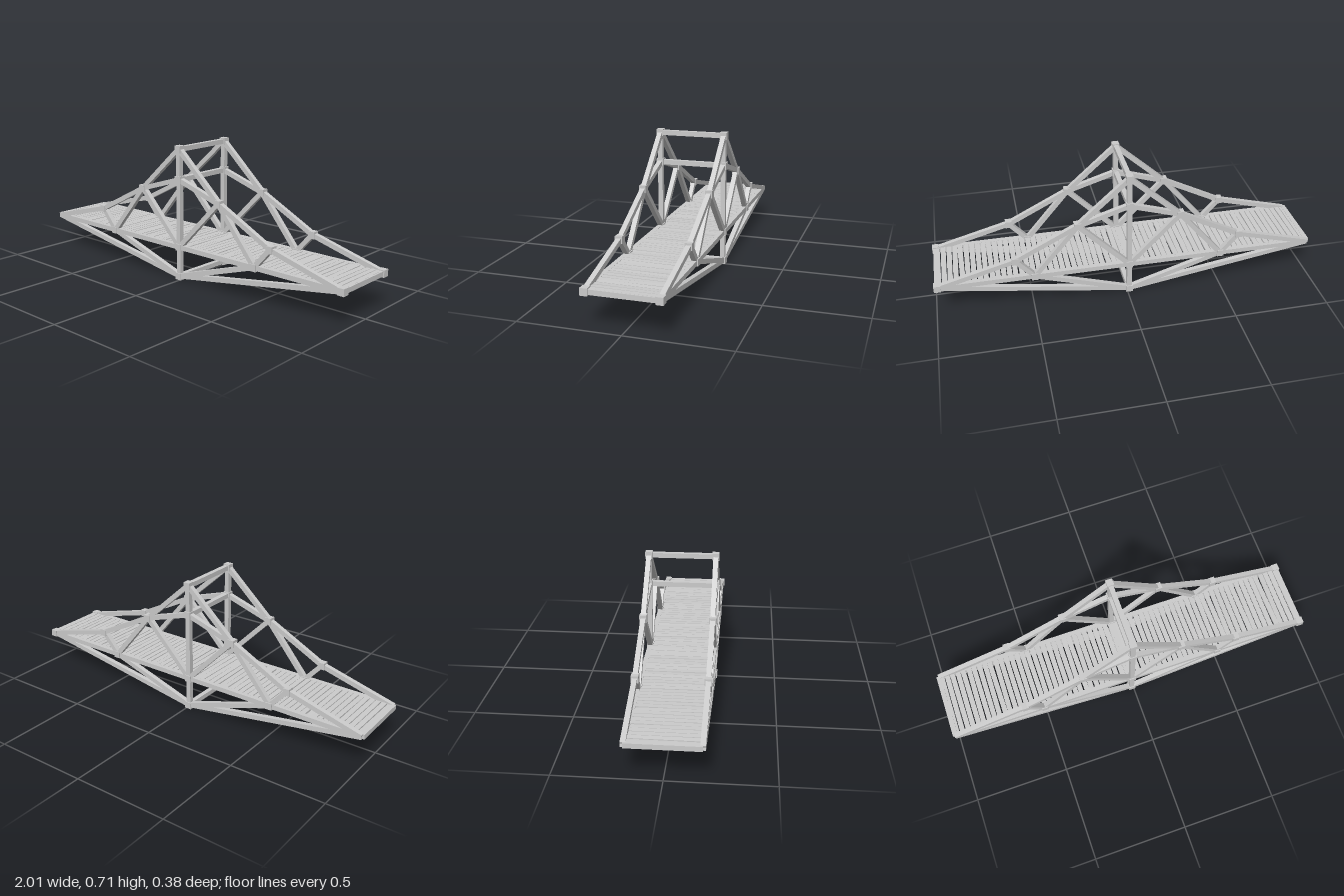
import * as THREE from 'three';

export function createModel() {
  const model = new THREE.Group();
  model.name = 'trussBridge';
  const mat = new THREE.MeshStandardMaterial({ color: 0xcccccc, flatShading: true });

  const CX = -0.01, SIDE = 0.172, BEAM = 0.025, JOINT = 0.036, DECK = 0.178;

  const box = (name, parent, w, h, d, x, y, z) => {
    const m = new THREE.Mesh(new THREE.BoxGeometry(w, h, d), mat);
    m.name = name;
    m.position.set(x, y, z);
    parent.add(m);
    return m;
  };

  // Square bar between two points of a side frame
  const bar = (name, parent, a, b) => {
    const dx = b[0] - a[0], dy = b[1] - a[1];
    const m = box(name, parent, Math.hypot(dx, dy), BEAM, BEAM, (a[0] + b[0]) / 2, (a[1] + b[1]) / 2, 0);
    m.rotation.z = Math.atan2(dy, dx);
  };

  // Joints on the centre line, and joints mirrored to either half
  const apex = [CX, 0.693], collar = [CX, 0.536], hub = [CX, DECK], foot = [CX, 0.02];
  const half = (s) => ({
    end: [CX + s * 0.989, DECK],
    low: [CX + s * 0.59, 0.286],
    mid: [CX + s * 0.266, 0.452],
    deck: [CX + s * 0.495, DECK],
  });

  // Two identical side trusses
  for (const z of [SIDE, -SIDE]) {
    const truss = new THREE.Group();
    truss.name = z > 0 ? 'frontTruss' : 'backTruss';
    truss.position.z = z;
    model.add(truss);

    bar('centrePost', truss, foot, apex);
    for (const s of [-1, 1]) {
      const { end, low, mid, deck } = half(s);
      bar('deckChord', truss, end, hub);
      bar('lowerRafter', truss, end, low);
      bar('middleRafter', truss, low, mid);
      bar('upperRafter', truss, mid, apex);
      bar('collarBrace', truss, mid, collar);
      bar('innerDiagonal', truss, mid, hub);
      bar('outerDiagonal', truss, mid, deck);
      bar('shortStrut', truss, low, deck);
      bar('lowerTie', truss, end, foot);
      bar('footBrace', truss, deck, foot);
      // The far -x end has plain bar ends without joint blocks
      const joints = s > 0 ? [end, low, mid, deck] : [low, mid, deck];
      for (const p of joints) box('joint', truss, JOINT, JOINT, JOINT, p[0], p[1], 0);
    }
    for (const p of [apex, collar, hub, foot]) box('joint', truss, JOINT, JOINT, JOINT, p[0], p[1], 0);
  }

  // Cross beams tying the trusses together
  const crossPoints = [apex, collar, hub, foot, half(1).end, half(-1).end];
  for (const p of crossPoints) box('crossBeam', model, BEAM, BEAM, SIDE * 2, p[0], p[1], 0);

  // Slightly uneven deck planks
  let seed = 7;
  const jitter = (r) => {
    seed = (seed * 16807) % 2147483647;
    return (seed / 2147483647 - 0.5) * 2 * r;
  };
  const deck = new THREE.Group();
  deck.name = 'deck';
  model.add(deck);
  const COUNT = 66, START = -0.985, PITCH = 1.955 / (COUNT - 1);
  for (let i = 0; i < COUNT; i++) {
    const plank = box('plank', deck, 0.026, 0.01, 0.33, START + i * PITCH, 0.185 + jitter(0.001), 0);
    plank.rotation.set(jitter(0.004), jitter(0.014), jitter(0.05));
  }

  return model;
}
